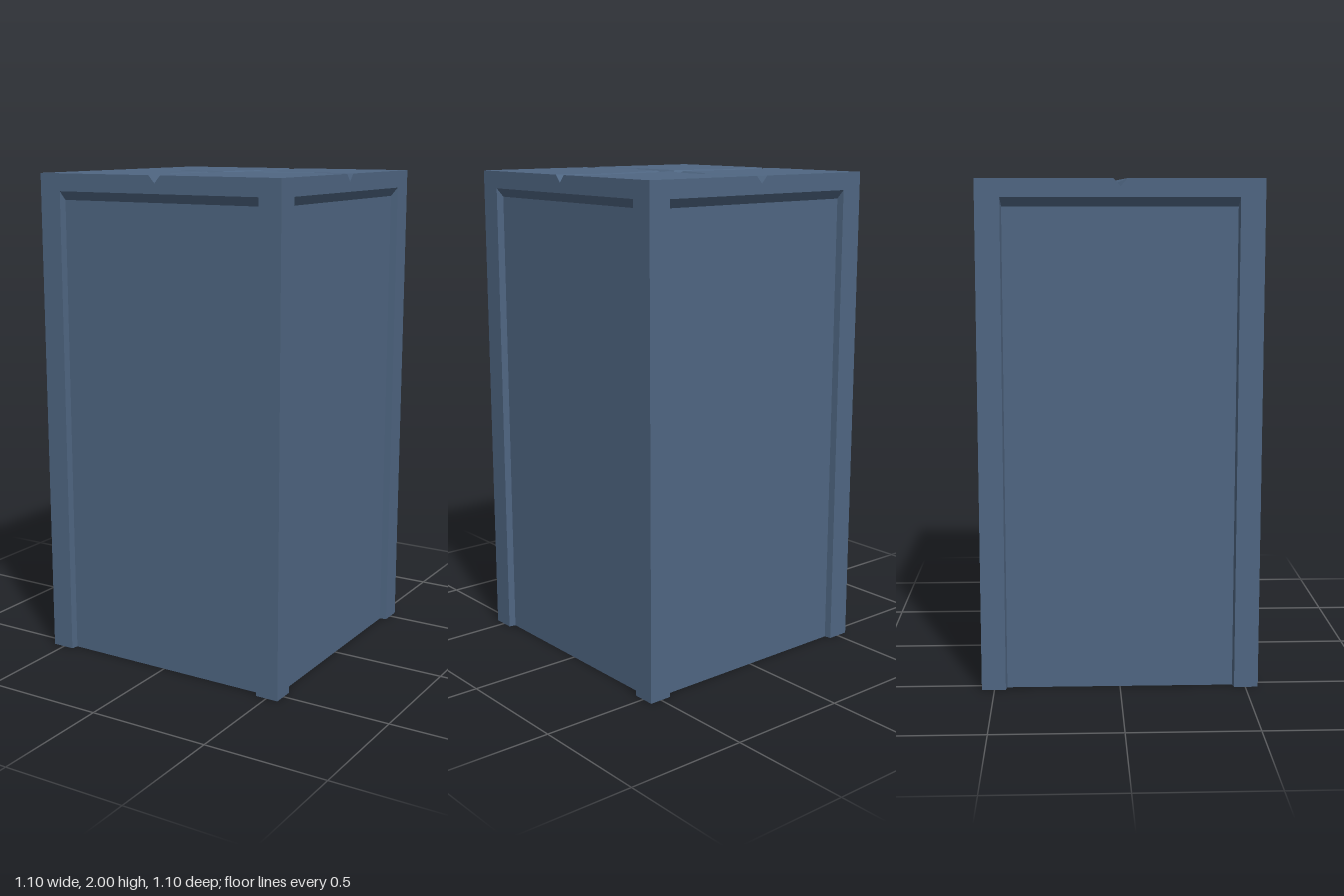
import * as THREE from 'three';

const H = 0.55, TOP = 2, LOW = 1.97, NOTCH = 0.027;
const OUT = 0.455, INN = 0.45, OUT_Y = 1.93, INN_Y = 1.895, BACK = 0.522;

const stone = new THREE.MeshStandardMaterial({ color: 0x4f6682 });
stone.name = 'slate blue';

function mesh(name, geometry) {
  const m = new THREE.Mesh(geometry, stone);
  m.name = name;
  return m;
}

function flat(points) {
  return new THREE.ShapeGeometry(new THREE.Shape(points.map(([x, y]) => new THREE.Vector2(x, y))));
}

// Flat-shaded quads, corners counter-clockwise from outside
function quads(list) {
  const pos = list.flatMap(([a, b, c, d]) => [a, b, c, a, c, d].flat());
  const g = new THREE.BufferGeometry();
  g.setAttribute('position', new THREE.Float32BufferAttribute(pos, 3));
  g.computeVertexNormals();
  return g;
}

// One side: notched frame, sunk panel, sloped reveals; open at the foot
function side() {
  const g = new THREE.Group();
  const frame = mesh('frame', flat([
    [-H, 0], [-OUT, 0], [-OUT, OUT_Y], [OUT, OUT_Y], [OUT, 0], [H, 0],
    [H, TOP], [NOTCH, TOP], [0, LOW], [-NOTCH, TOP], [-H, TOP],
  ]));
  frame.position.z = H;
  const panel = mesh('panel', flat([[-INN, 0], [INN, 0], [INN, INN_Y], [-INN, INN_Y]]));
  panel.position.z = BACK;
  const o = (s, y) => [s * OUT, y, H], i = (s, y) => [s * INN, y, BACK];
  const reveal = mesh('panelReveal', quads([
    [o(-1, 0), i(-1, 0), i(-1, INN_Y), o(-1, OUT_Y)],
    [o(-1, OUT_Y), i(-1, INN_Y), i(1, INN_Y), o(1, OUT_Y)],
    [i(1, 0), o(1, 0), o(1, OUT_Y), i(1, INN_Y)],
  ]));
  g.add(frame, panel, reveal);
  return g;
}

// Top crack: [x, z] stations of edge, valley, edge; arms meet at the centre
const centre = [-0.025, 0.02];
const nw = [-0.05, -0.03], ne = [0.035, -0.045], sw = [-0.077, 0.06], se = [0.01, 0.067];
const N = NOTCH;
const arms = {
  north: [[[-N, -H], [0, -H], [N, -H]], [[0.017, -0.24], [0.055, -0.245], [0.085, -0.24]], [nw, centre, ne]],
  south: [[[-N, H], [0, H], [N, H]], [[-0.083, 0.32], [-0.058, 0.32], [-0.025, 0.32]], [sw, centre, se]],
  west: [[[-H, -N], [-H, 0], [-H, N]], [[-0.295, -0.08], [-0.295, -0.05], [-0.285, -0.007]], [nw, centre, sw]],
  east: [[[H, -N], [H, 0], [H, N]], [[0.345, -0.09], [0.345, -0.063], [0.345, -0.03]], [ne, centre, se]],
};

function groove(rows) {
  const p = (r, k) => [rows[r][k][0], k === 1 ? LOW : TOP, rows[r][k][1]];
  const list = [];
  // Reverse the winding where the strip would face down
  const [a, , b] = rows[0], c = rows[1][0];
  const up = (c[1] - a[1]) * (b[0] - a[0]) - (c[0] - a[0]) * (b[1] - a[1]) > 0;
  for (let r = 0; r < 2; r++) {
    for (let k = 0; k < 2; k++) {
      const q = [p(r, k), p(r + 1, k), p(r + 1, k + 1), p(r, k + 1)];
      list.push(up ? q : q.reverse());
    }
  }
  return quads(list);
}

export function createModel() {
  const model = new THREE.Group();
  model.name = 'crackedPillar';

  ['front', 'left', 'back', 'right'].forEach((name, n) => {
    const s = side();
    s.name = name + 'Side';
    s.rotation.y = n * Math.PI / 2;
    model.add(s);
  });

  for (const [name, rows] of Object.entries(arms)) model.add(mesh(name + 'Groove', groove(rows)));

  // Four flat top slabs between the grooves
  for (const [v, sz] of [['north', -1], ['south', 1]]) {
    for (const [h, sx] of [['west', -1], ['east', 1]]) {
      const kv = sx < 0 ? 0 : 2, kh = sz < 0 ? 0 : 2;
      const outline = [
        [sx * H, sz * H], arms[v][0][kv], arms[v][1][kv], arms[v][2][kv],
        arms[h][1][kh], arms[h][0][kh],
      ];
      const slab = flat(outline.map(([x, z]) => [x, -z])).rotateX(-Math.PI / 2).translate(0, TOP, 0);
      model.add(mesh(v + h + 'Slab', slab));
    }
  }

  // Underside with the four recesses cut in
  const base = [];
  for (let n = 0; n < 4; n++) {
    const c = [1, 0, -1, 0][n], s = [0, 1, 0, -1][n];
    for (const [x, y] of [[H, -H], [H, -OUT], [BACK, -INN], [BACK, INN], [H, OUT]]) {
      base.push([x * c - y * s, x * s + y * c]);
    }
  }
  model.add(mesh('underside', flat(base).rotateX(Math.PI / 2)));

  return model;
}
